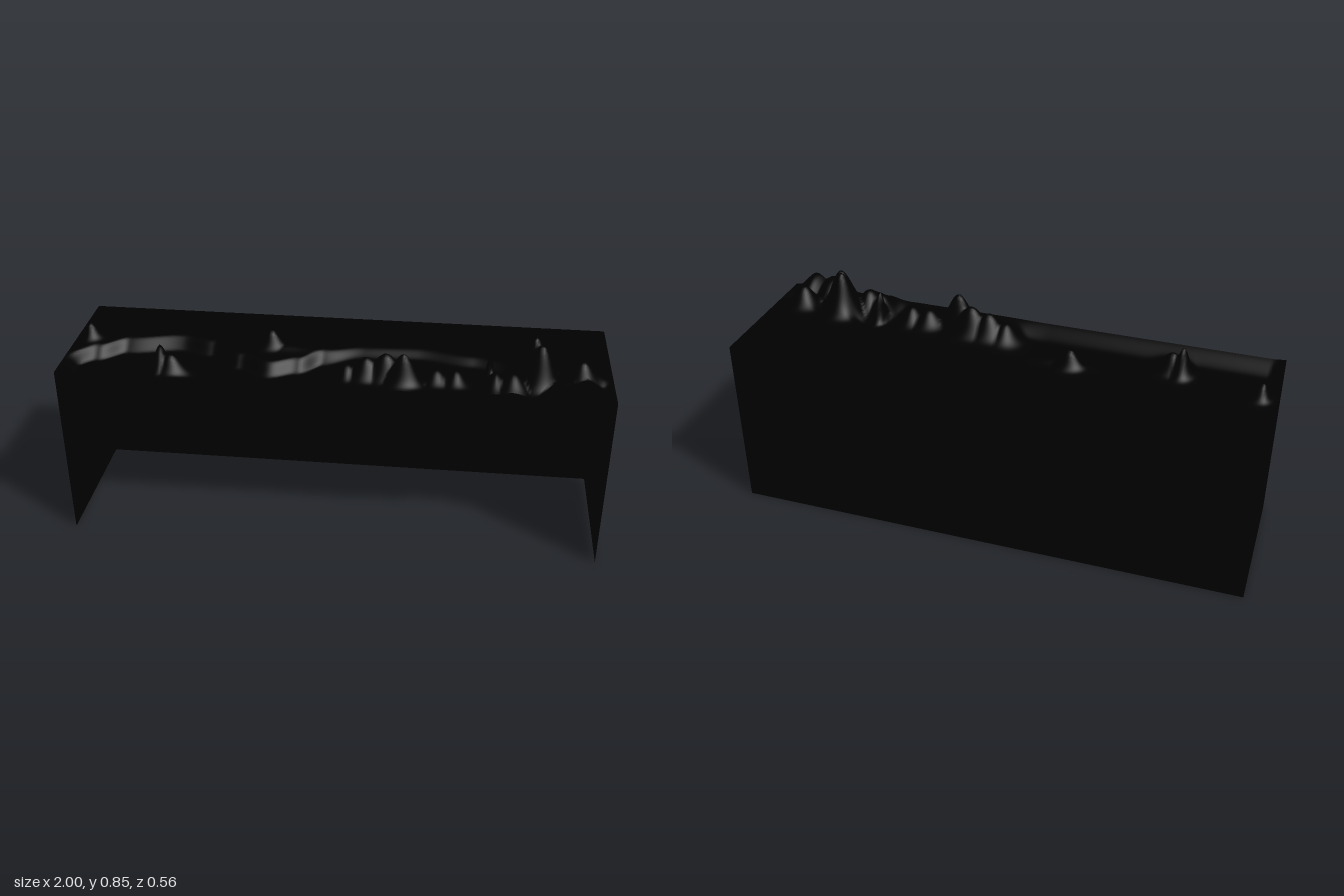
import * as THREE from 'three';

const W = 2, D = 0.555, H = 0.687;
const { smoothstep } = THREE.MathUtils;

// Steep rear bank of the valley
const bank = [[-1, 0.12], [-0.9, 0.05], [-0.8, -0.02], [-0.6, -0.06], [-0.48, -0.03], [-0.36, 0.06],
  [-0.24, 0.11], [-0.14, 0.07], [-0.05, 0], [0.1, -0.04], [0.3, -0.05], [0.5, -0.01], [0.7, 0.06], [1, 0.12]];

// Hills: x, z, height, x radius, z radius
const hills = [
  [-0.945, -0.01, 0.06, 0.028, 0.03],
  [-0.64, 0.14, 0.062, 0.026, 0.04],
  [-0.6, 0.15, 0.03, 0.045, 0.04],
  [-0.25, -0.012, 0.068, 0.036, 0.03],
  [-0.2, 0.0, 0.016, 0.1, 0.03],
  [0.05, 0.16, 0.035, 0.04, 0.05],
  [0.12, 0.16, 0.066, 0.055, 0.05],
  [0.19, 0.16, 0.084, 0.06, 0.05],
  [0.255, 0.2, 0.108, 0.05, 0.04],
  [0.37, 0.17, 0.037, 0.045, 0.05],
  [0.44, 0.17, 0.038, 0.04, 0.05],
  [0.56, 0.14, 0.1, 0.014, 0.03],
  [0.58, 0.2, 0.052, 0.04, 0.06],
  [0.64, 0.21, 0.06, 0.05, 0.06],
  [0.715, 0.125, 0.163, 0.05, 0.055],
  [0.735, 0.165, 0.152, 0.055, 0.055],
  [0.82, 0.26, 0.064, 0.06, 0.1],
  [0.9, 0.27, 0.065, 0.05, 0.12],
  [0.885, 0.13, 0.078, 0.05, 0.05],
];

function bankZ(x) {
  let i = 0;
  while (i < bank.length - 2 && x > bank[i + 1][0]) i++;
  const [a, b] = [bank[i], bank[i + 1]];
  return a[1] + (b[1] - a[1]) * smoothstep(x, a[0], b[0]);
}

function groundHeight(x, z) {
  // The valley falls quickly at the bank and climbs back to the front edge
  const depth = 0.045 - 0.02 * smoothstep(x, -0.1, 0.1);
  const drop = depth * smoothstep(z - bankZ(x), -0.01, 0.05) * smoothstep(D / 2 - z, -0.02, 0.09);
  let rise = 0;
  for (const [hx, hz, h, rx, rz] of hills) {
    const d = ((x - hx) / rx) ** 2 + ((z - hz) / rz) ** 2;
    rise = Math.max(rise, (h + drop) * Math.exp(-d * 0.8));
  }
  // Blend to the level wall tops at both ends
  return H + (rise - drop) * smoothstep(1 - Math.abs(x), 0, 0.05);
}

export function createModel() {
  const group = new THREE.Group();
  const black = new THREE.MeshStandardMaterial({ color: 0x000000, side: THREE.DoubleSide });
  black.name = 'black';

  function add(name, geometry) {
    const mesh = new THREE.Mesh(geometry, black);
    mesh.name = name;
    group.add(mesh);
    return mesh;
  }

  // Sculpted landscape top
  const ground = new THREE.PlaneGeometry(W, D, 240, 70).rotateX(-Math.PI / 2);
  const p = ground.attributes.position;
  for (let i = 0; i < p.count; i++) p.setY(i, groundHeight(p.getX(i), p.getZ(i)));
  ground.computeVertexNormals();
  add('landscapeTop', ground);

  // Thin back wall; the front and underside stay open
  const back = add('backWall', new THREE.PlaneGeometry(W, H));
  back.rotation.y = Math.PI;
  back.position.set(0, H / 2, -D / 2);

  // Matching end walls
  for (const [name, s] of [['leftWall', 1], ['rightWall', -1]]) {
    const wall = add(name, new THREE.PlaneGeometry(D, H));
    wall.rotation.y = s * Math.PI / 2;
    wall.position.set(s * W / 2, H / 2, 0);
  }
  return group;
}
